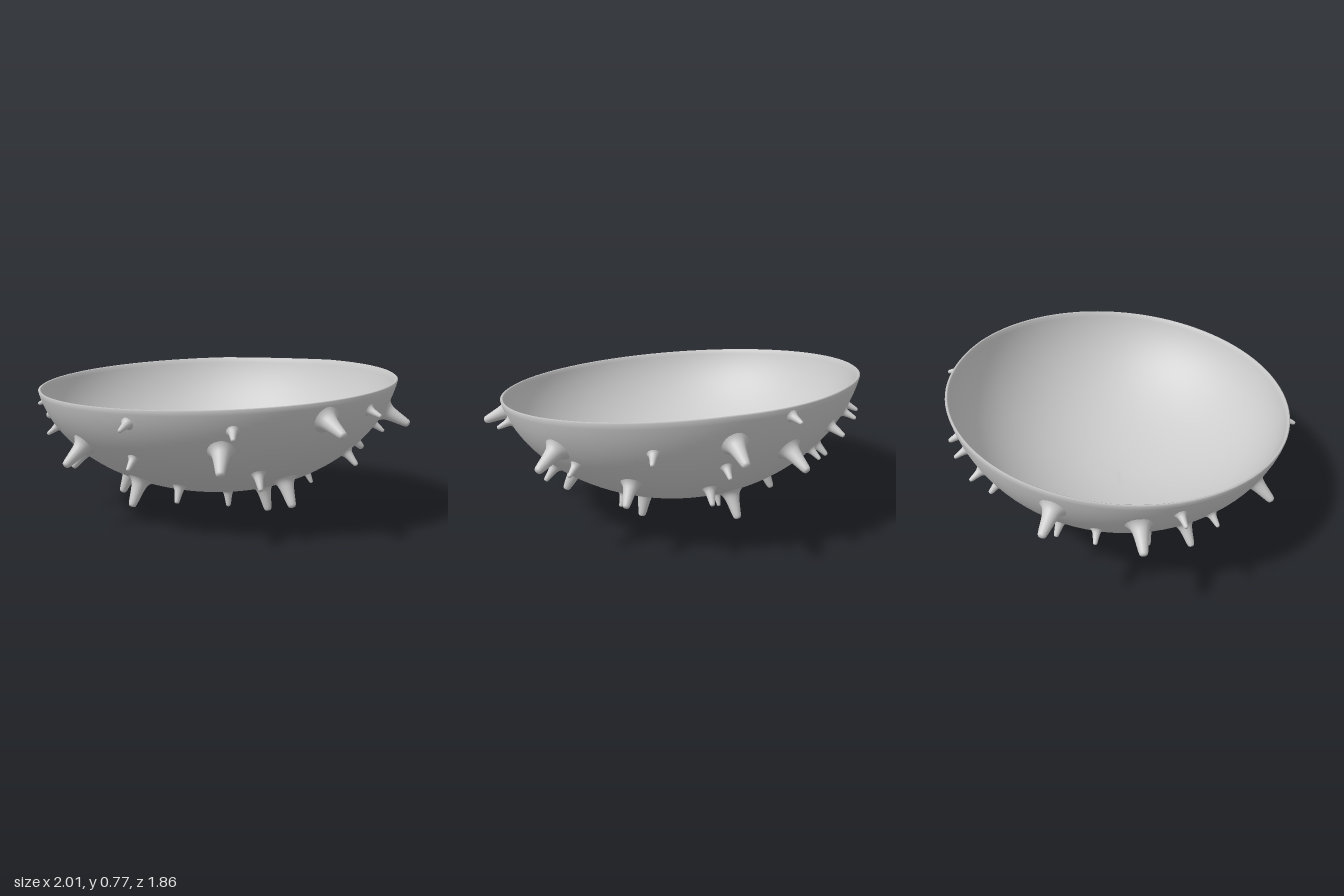
import * as THREE from 'three';
import { mergeVertices } from 'three/addons/utils/BufferGeometryUtils.js';

// Bowl: a squashed spherical cap whose rim slopes down towards the front
const PHI = Math.asin(Math.sqrt(0.97));
const CAP = 1 - Math.cos(PHI);
const BASE = 0.115, CX = 0.025, CZ = 0.01, RX = 0.955, RZ = 0.88;
const rimY = (theta) => Math.min(0.772, 0.7 - 0.088 * Math.cos(theta) * RZ);

// Radius and height (both 0..1) of the cap at a polar angle
const capRing = (phi) => [Math.sin(phi) / Math.sin(PHI), (1 - Math.cos(phi)) / CAP];

// Cap coordinates (angle round the axis, radius, height) to model space
const place = (theta, s, h) => new THREE.Vector3(
  CX + RX * s * Math.sin(theta),
  BASE + (rimY(theta) - BASE) * h,
  CZ + RZ * s * Math.cos(theta));

// Outer wall up to a rounded rim, then the inner wall back down
function bowlGeometry() {
  const N = 40, wall = 0.016, pts = [];
  for (let i = 0; i <= N; i++) pts.push(new THREE.Vector2(...capRing(i / N * PHI)));
  pts.push(new THREE.Vector2(1 - wall / 2, 1.008));
  for (let i = N; i >= 0; i--) {
    const [s, h] = capRing(i / N * PHI);
    pts.push(new THREE.Vector2(s * (1 - wall), 0.025 + h * 0.975));
  }
  const lathe = new THREE.LatheGeometry(pts, 96);
  const p = lathe.attributes.position;
  for (let i = 0; i < p.count; i++) {
    const x = p.getX(i), z = p.getZ(i);
    const v = place(Math.atan2(x, z), Math.hypot(x, z), p.getY(i));
    p.setXYZ(i, v.x, v.y, v.z);
  }
  lathe.deleteAttribute('uv');
  lathe.deleteAttribute('normal');
  const geo = mergeVertices(lathe, 1e-5);
  geo.computeVertexNormals();
  return geo;
}

// Spike of unit length: flared foot, tapering shaft, rounded tip
function spikeGeometry() {
  const outline = new THREE.SplineCurve([
    [0.58, -0.09], [0.42, 0.0], [0.3, 0.14], [0.235, 0.36], [0.185, 0.65],
    [0.145, 0.88], [0.1, 0.97], [0, 1],
  ].map(([x, y]) => new THREE.Vector2(x, y)));
  return new THREE.LatheGeometry(outline.getPoints(22), 20);
}

// Spikes by size: length, then [angle round the axis, angle up from the base] in degrees
const LARGE = [
  [58.5, 72.5], [28, 61.5], [-24, 59], [-16, 35], [103.5, 67], [62, 37], [159, 69.5],
  [180, 62], [173, 31.5], [-104, 71], [-78, 67], [97, 16.5], [-67.5, 29],
];
const MEDIUM = [[-56, 47], [-135, 28], [125.5, 51]];
const SHORT = [
  [43, 46], [7, 33], [86, 51], [155, 44.5], [-160, 65.5], [-144, 50.5],
  [-112, 43], [-118, 17.5], [52, 9.5],
];
const TINY = [
  [1.5, 74], [-2, 55.5], [31, 71], [-52, 62], [77, 73], [108, 60], [136, 68],
  [107, 31], [158, 59], [175.5, 77], [-148, 67.5], [-136, 67], [-160, 54],
  [-66, 72.5], [-92, 57.5], [-46, 25.5], [173, 22.5],
];

export function createModel() {
  const group = new THREE.Group();
  const material = new THREE.MeshStandardMaterial({ color: 0xcccccc });

  const bowl = new THREE.Mesh(bowlGeometry(), material);
  bowl.name = 'bowl';
  group.add(bowl);

  // Spikes stand on the outer wall along its normal
  const spikes = new THREE.Group();
  spikes.name = 'spikes';
  const geo = spikeGeometry();
  const up = new THREE.Vector3(0, 1, 0);
  const addSpikes = (list, length) => list.forEach(([around, rise]) => {
    const theta = THREE.MathUtils.degToRad(around);
    const phi = THREE.MathUtils.degToRad(rise);
    const depth = (rimY(theta) - BASE) / CAP;
    const normal = new THREE.Vector3(
      Math.sin(phi) * Math.sin(theta) / RX,
      -Math.cos(phi) / depth,
      Math.sin(phi) * Math.cos(theta) / RZ).normalize();
    const spike = new THREE.Mesh(geo, material);
    spike.name = 'spike';
    spike.position.copy(place(theta, ...capRing(phi)));
    spike.quaternion.setFromUnitVectors(up, normal);
    spike.scale.setScalar(length);
    spikes.add(spike);
  });
  addSpikes(LARGE, 0.142);
  addSpikes(MEDIUM, 0.12);
  addSpikes(SHORT, 0.086);
  addSpikes(TINY, 0.069);
  group.add(spikes);
  return group;
}
